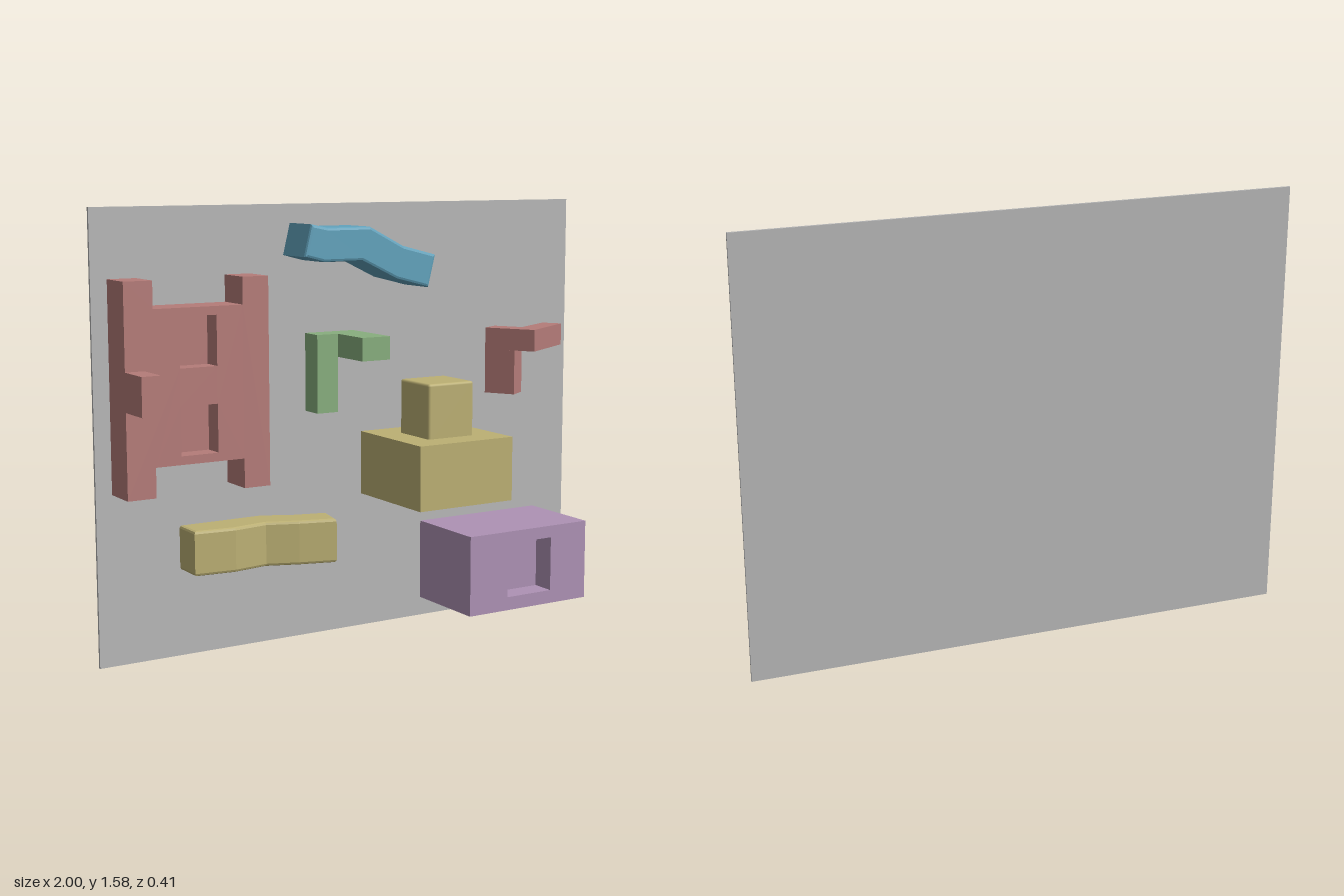
import * as THREE from 'three';
import { RoundedBoxGeometry } from 'three/addons/geometries/RoundedBoxGeometry.js';

const WALL = -0.195; // front face of the backboard

function paint(name, color) {
  const m = new THREE.MeshStandardMaterial({ color });
  m.name = name;
  return m;
}

function polygon(points) {
  return new THREE.Shape(points.map(([x, y]) => new THREE.Vector2(x, y)));
}

function rect(x0, x1, y0, y1) {
  return [[x0, y0], [x1, y0], [x1, y1], [x0, y1]];
}

// Outline in x/y pushed along z from z0 to z1, with optional holes and bevel
function slabXY(points, z0, z1, holes = [], bevel = 0) {
  const shape = polygon(points);
  holes.forEach((h) => shape.holes.push(polygon(h)));
  return new THREE.ExtrudeGeometry(shape, {
    depth: z1 - z0 - 2 * bevel, bevelEnabled: bevel > 0, bevelSize: bevel,
    bevelThickness: bevel, bevelOffset: -bevel, bevelSegments: 2,
  }).translate(0, 0, z0 + bevel);
}

// Outline in x/z pushed upward from y0 to y1
function slabXZ(points, y0, y1, bevel = 0) {
  return slabXY(points.map(([x, z]) => [x, -z]), y0, y1, [], bevel).rotateX(-Math.PI / 2);
}

// Outline in z/y pushed along x from x0 to x1
function slabZY(points, x0, x1, holes = []) {
  const flip = (list) => list.map(([z, y]) => [-z, y]);
  return slabXY(flip(points), x0, x1, holes.map(flip)).rotateY(Math.PI / 2);
}

function box(x0, x1, y0, y1, z0, z1) {
  return new THREE.BoxGeometry(x1 - x0, y1 - y0, z1 - z0)
    .translate((x0 + x1) / 2, (y0 + y1) / 2, (z0 + z1) / 2);
}

export function createModel() {
  const model = new THREE.Group();
  model.name = 'wallBlocks';

  const grey = paint('boardGrey', 0xb8b8b8);
  const red = paint('dustyRed', 0xb57c79);
  const blue = paint('softBlue', 0x62a3bd);
  const yellow = paint('strawYellow', 0xbcb074);
  const green = paint('leafGreen', 0x88ae7e);
  const purple = paint('mauve', 0xae92b5);

  function group(name) {
    const g = new THREE.Group();
    g.name = name;
    model.add(g);
    return g;
  }
  function add(parent, name, geometry, material) {
    const mesh = new THREE.Mesh(geometry, material);
    mesh.name = name;
    parent.add(mesh);
  }

  add(model, 'backboard', box(-1, 1, 0, 1.58, -0.205, WALL), grey);

  // H-shaped frame with two square recesses and a side peg
  const frame = group('recessedFrame');
  const outline = [
    [-0.94, 0.605], [-0.835, 0.605], [-0.835, 0.71], [-0.5, 0.71], [-0.5, 0.605], [-0.4, 0.605],
    [-0.4, 1.34], [-0.5, 1.34], [-0.5, 1.245], [-0.835, 1.245], [-0.835, 1.34], [-0.94, 1.34],
  ];
  const recesses = [rect(-0.74, -0.6, 0.74, 0.91), rect(-0.74, -0.6, 1.04, 1.215)];
  add(frame, 'frameBack', slabXY(outline, WALL, -0.135), red);
  add(frame, 'frameFront', slabXY(outline, -0.135, -0.062, recesses), red);
  add(frame, 'framePeg', box(-0.94, -0.87, 0.905, 1.04, -0.062, 0.07), red);

  // Bent beam lying flat against the board
  add(model, 'blueBeam', slabXY([
    [-0.268, 1.4], [-0.19, 1.38], [-0.035, 1.38], [0.11, 1.31], [0.248, 1.275],
    [0.278, 1.393], [0.14, 1.428], [0, 1.5], [-0.175, 1.5], [-0.24, 1.513],
  ], -0.204, -0.035, [], 0.01), blue);

  // Bent beam swinging away from the board
  add(model, 'yellowBeam', slabXZ([
    [-0.69, -0.2], [-0.69, -0.075], [-0.54, -0.058], [-0.41, -0.078], [-0.3, -0.035],
    [-0.168, 0.003], [-0.143, -0.115], [-0.265, -0.148], [-0.37, -0.2],
  ], 0.31, 0.47, 0.01), yellow);

  // Three-way corner bracket
  const bracket = group('greenBracket');
  add(bracket, 'bracketLeg', box(-0.18, -0.095, 0.835, 1.035, WALL, -0.108), green);
  add(bracket, 'bracketArms', slabXZ([
    [-0.18, WALL], [-0.18, -0.108], [-0.095, -0.108], [-0.095, 0.06], [0.02, 0.06], [0.02, WALL],
  ], 1.035, 1.118), green);

  // Turned elbow with a hanging leg
  const elbow = group('redElbow');
  add(elbow, 'elbowArms', slabXZ([
    [0.588, -0.155], [0.69, 0.02], [0.932, -0.128], [0.892, -0.195], [0.717, -0.095], [0.66, -0.195],
  ], 1.018, 1.1), red);
  add(elbow, 'elbowLeg', slabXZ([
    [0.588, -0.155], [0.649, -0.05], [0.717, -0.095], [0.66, -0.195],
  ], 0.85, 1.018), red);

  // Stepped block
  const steps = group('steppedBlock');
  add(steps, 'lowerBlock', box(0.055, 0.455, 0.505, 0.74, WALL, 0.205), yellow);
  add(steps, 'upperBlock', new RoundedBoxGeometry(0.195, 0.22, 0.19, 2, 0.01)
    .translate(0.2575, 0.83, 0.005), yellow);

  // Block with a large front recess and a small side recess
  const hollow = group('hollowBlock');
  add(hollow, 'hollowBack', box(0.32, 0.755, 0.07, 0.37, WALL, 0.05), purple);
  add(hollow, 'hollowFront', slabXY(rect(0.32, 0.755, 0.07, 0.37), 0.05, 0.14,
    [rect(0.49, 0.69, 0.12, 0.325)]), purple);
  add(hollow, 'hollowSide', slabZY(rect(WALL, 0.14, 0.07, 0.37), 0.755, 0.855,
    [rect(-0.028, 0.07, 0.17, 0.27)]), purple);

  return model;
}
